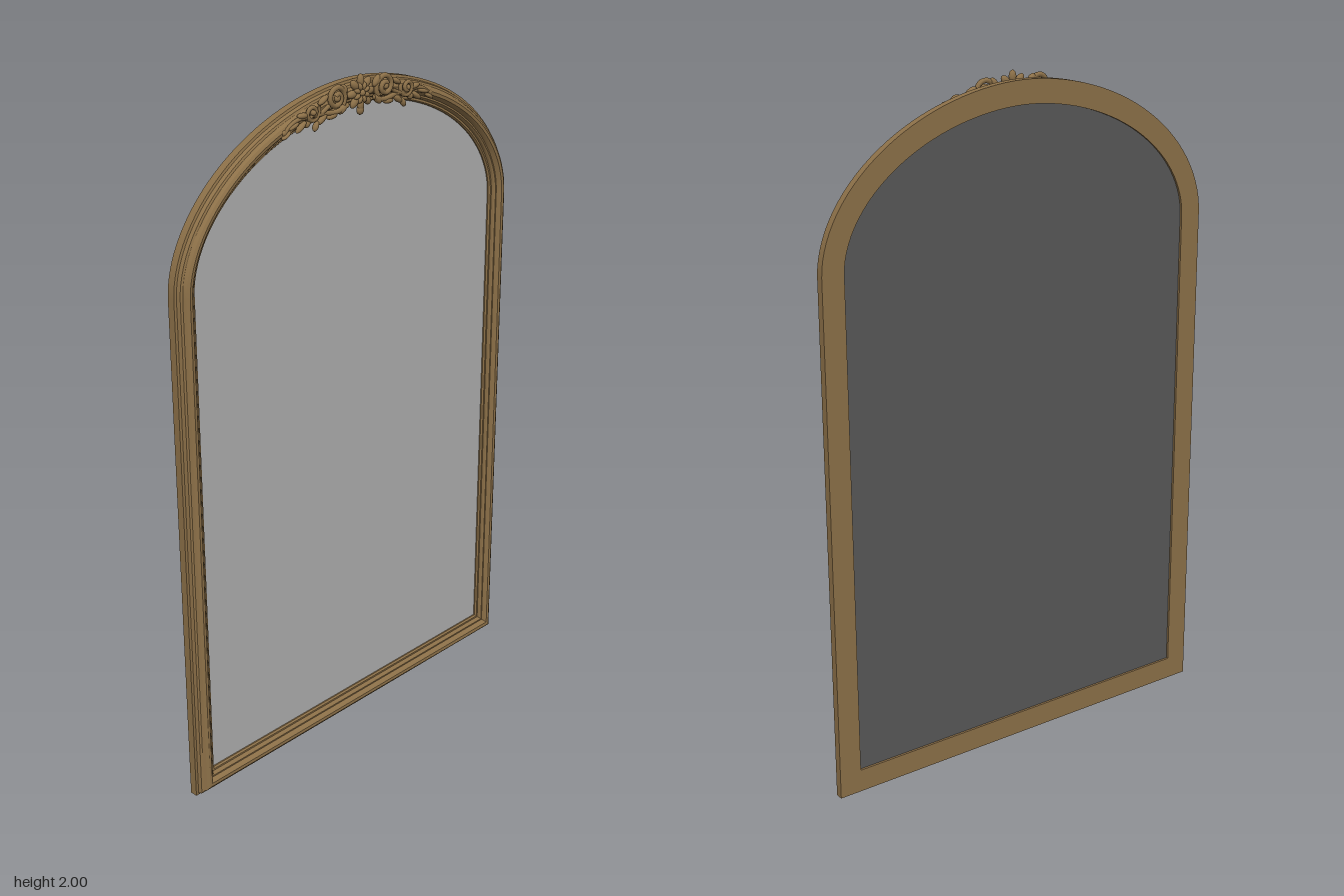
import * as THREE from 'three';
import { toCreasedNormals } from 'three/addons/utils/BufferGeometryUtils.js';

const W = 0.65, SPRING = 1.53, RISE = 0.45, POWER = 1.9;

// Outline of the arched frame, inset by d, counter-clockwise from the front
function outline(d) {
  const w = W - d, h = RISE - d, pts = [new THREE.Vector2(-w, d), new THREE.Vector2(w, d)];
  const n = 56;
  for (let i = 0; i <= n; i++) {
    const a = Math.PI * i / n, c = Math.cos(a), s = Math.max(0, Math.sin(a));
    pts.push(new THREE.Vector2(
      w * Math.sign(c) * Math.abs(c) ** (2 / POWER),
      SPRING + h * (i === n ? 0 : s) ** (2 / POWER)));
  }
  return pts;
}

// Height of the arch at x for a given inset
function archY(x, d) {
  return SPRING + (RISE - d) * (1 - (Math.abs(x) / (W - d)) ** POWER) ** (1 / POWER);
}

// Sweep a closed moulding profile of [inset, z] around the outline
function sweepFrame(profile) {
  const rings = profile.map(([d]) => outline(d));
  const n = rings[0].length, m = profile.length, pos = [], idx = [];
  for (let i = 0; i < n; i++)
    for (let j = 0; j < m; j++) pos.push(rings[j][i].x, rings[j][i].y, profile[j][1]);
  for (let i = 0; i < n; i++)
    for (let j = 0; j < m; j++) {
      const i2 = (i + 1) % n, j2 = (j + 1) % m;
      const a = i * m + j, b = i2 * m + j, c = i2 * m + j2, e = i * m + j2;
      idx.push(a, b, c, a, c, e);
    }
  const g = new THREE.BufferGeometry();
  g.setAttribute('position', new THREE.Float32BufferAttribute(pos, 3));
  g.setIndex(idx);
  return toCreasedNormals(g, 0.4);
}

export function createModel() {
  const model = new THREE.Group();
  model.name = 'archedMirror';
  const mat = (name, color) => {
    const m = new THREE.MeshStandardMaterial({ color });
    m.name = name;
    return m;
  };
  const wood = mat('antique gold', 0x8c7048);
  const silver = mat('mirror silver', 0xb0b0b0);
  const backing = mat('dark backing', 0x585858);

  const add = (parent, name, geometry, material) => {
    const mesh = new THREE.Mesh(geometry, material);
    mesh.name = name;
    parent.add(mesh);
    return mesh;
  };

  // Stepped moulding
  add(model, 'frame', sweepFrame([
    [0, -0.035], [0, -0.012], [0.007, -0.01], [0.01, 0.001], [0.016, 0.004],
    [0.021, 0.013], [0.029, 0.018], [0.038, 0.017], [0.044, 0.011], [0.047, 0.004],
    [0.052, 0.005], [0.056, 0.001], [0.058, -0.006], [0.064, -0.005], [0.068, -0.01],
    [0.068, -0.035],
  ]), wood);

  // Mirror and backing panel
  const panel = new THREE.Shape(outline(0.066));
  add(model, 'mirrorGlass', new THREE.ShapeGeometry(panel), silver).position.z = -0.014;
  add(model, 'backPanel',
    new THREE.ExtrudeGeometry(panel, { depth: 0.012, bevelEnabled: false }), backing).position.z = -0.028;

  // Carved crest
  const crest = new THREE.Group();
  crest.name = 'crest';
  model.add(crest);

  const bead = (name, x, y, z, rx, ry, rz, turn = 0) => {
    const b = add(crest, name, new THREE.SphereGeometry(1, 14, 10), wood);
    b.position.set(x, y, z);
    b.scale.set(rx, ry, rz);
    b.rotation.z = turn;
  };

  // Central rosette: two rings of petals around a boss
  const cy = 1.949;
  for (let i = 0; i < 8; i++) {
    const a = i * Math.PI / 4 + Math.PI / 2, b = a + Math.PI / 8;
    bead('outerPetal', Math.cos(a) * 0.033, cy + Math.sin(a) * 0.033, 0.019, 0.018, 0.011, 0.009, a);
    bead('innerPetal', Math.cos(b) * 0.019, cy + Math.sin(b) * 0.019, 0.024, 0.011, 0.007, 0.008, b);
  }
  bead('rosetteBoss', 0, cy, 0.026, 0.009, 0.009, 0.008);
  bead('rosetteDrop', 0, 1.902, 0.018, 0.012, 0.014, 0.009);

  // Spiral volute; s is the side, dir the turning direction
  const volute = (s, x, y, r, start, turns, dir, thick) => {
    const pts = [];
    for (let i = 0; i <= 24; i++) {
      const t = i / 24, a = start + dir * turns * Math.PI * 2 * t, q = r * (1 - 0.75 * t);
      pts.push(new THREE.Vector3(s * (x + q * Math.cos(a)), y + q * Math.sin(a), 0.019 + 0.005 * t));
    }
    add(crest, 'volute', new THREE.TubeGeometry(new THREE.CatmullRomCurve3(pts), 48, thick, 7), wood);
    bead('voluteEye', s * x, y, 0.024, thick * 1.3, thick * 1.3, 0.008);
  };

  // Stem that follows the arch between two x positions, waving in inset
  const stem = (s, x0, x1, inset, wave, thick) => {
    const pts = [];
    for (let i = 0; i <= 10; i++) {
      const t = i / 10, x = x0 + (x1 - x0) * t;
      pts.push(new THREE.Vector3(s * x, archY(x, inset + wave * Math.sin(t * Math.PI * 2)), 0.02 - 0.004 * t));
    }
    add(crest, 'stem', new THREE.TubeGeometry(new THREE.CatmullRomCurve3(pts), 30, thick, 7), wood);
    const last = pts[pts.length - 1];
    bead('stemTip', last.x, last.y, last.z, thick * 1.6, thick * 1.3, thick);
  };

  // Leaves along the arch: x, inset, length, width, tilt
  const leaves = [
    [0.062, 0.008, 0.018, 0.010, 0.9], [0.066, 0.058, 0.020, 0.010, -0.7],
    [0.108, 0.066, 0.020, 0.008, -0.1], [0.140, 0.012, 0.020, 0.008, -0.5],
    [0.145, 0.060, 0.022, 0.009, -0.6], [0.168, 0.070, 0.015, 0.008, -1.1],
    [0.215, 0.022, 0.020, 0.008, 0.1], [0.222, 0.048, 0.022, 0.008, -0.6],
    [0.250, 0.032, 0.022, 0.007, -0.3], [0.275, 0.042, 0.018, 0.006, -0.5],
  ];

  for (const s of [1, -1]) {
    volute(s, 0.093, 1.951, 0.034, -2.4, 1.5, -1, 0.0075);
    volute(s, 0.182, 1.930, 0.026, 2.6, 1.4, 1, 0.006);
    stem(s, 0.05, 0.20, 0.052, 0.008, 0.007);
    stem(s, 0.12, 0.28, 0.034, 0.010, 0.006);
    for (const [x, inset, len, wid, tilt] of leaves)
      bead('leaf', s * x, archY(x, inset), 0.018, len, wid, 0.009, s * tilt);
  }
  return model;
}
